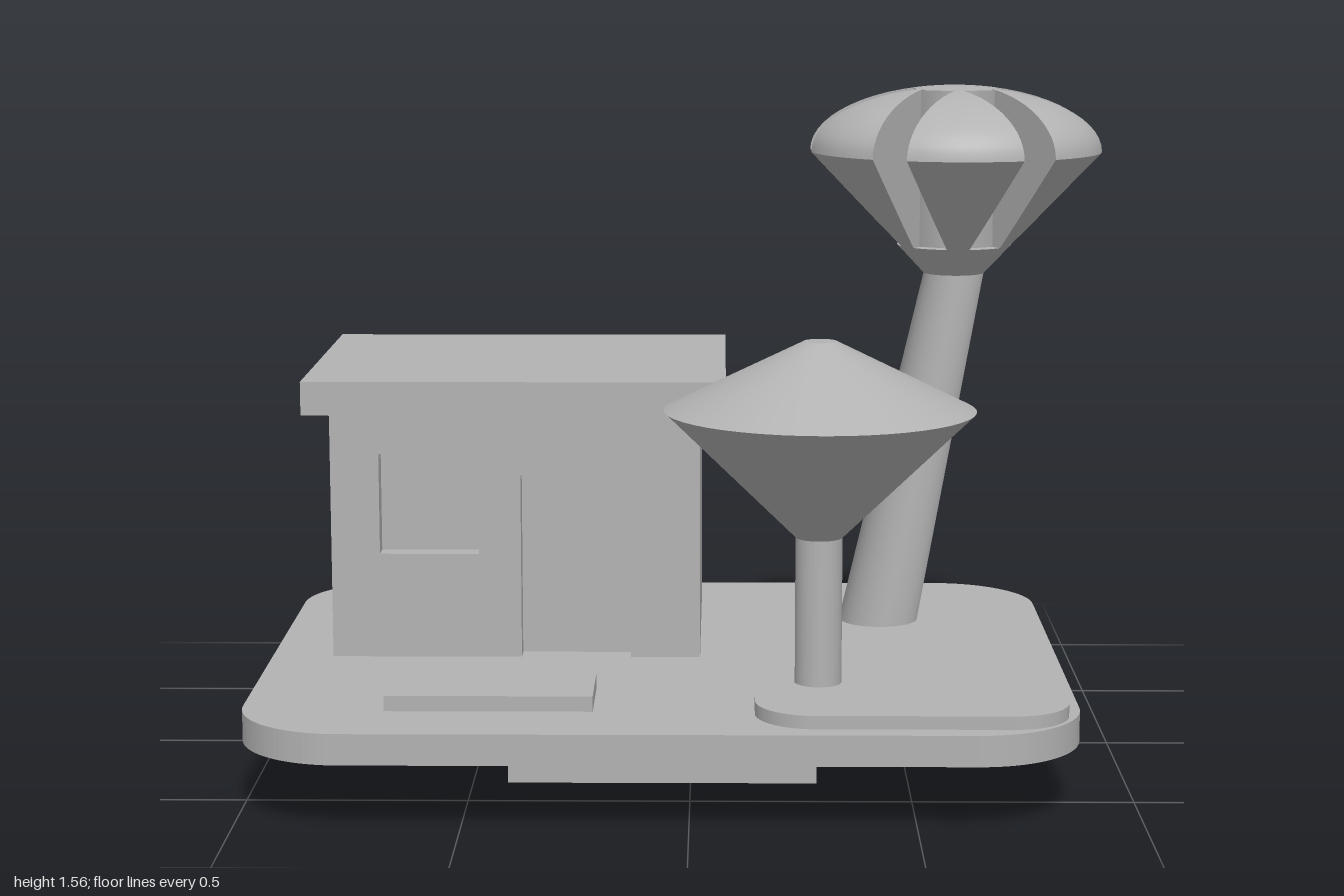
import * as THREE from 'three';

const grey = new THREE.MeshStandardMaterial({ color: 0xb2b2b2, side: THREE.DoubleSide });
grey.name = 'plain grey';

function add(parent, name, geometry, x = 0, y = 0, z = 0) {
  const mesh = new THREE.Mesh(geometry, grey);
  mesh.name = name;
  mesh.position.set(x, y, z);
  parent.add(mesh);
  return mesh;
}

// Box given by its limits on each axis
function block(parent, name, [x0, x1], [y0, y1], [z0, z1]) {
  return add(parent, name, new THREE.BoxGeometry(x1 - x0, y1 - y0, z1 - z0),
    (x0 + x1) / 2, (y0 + y1) / 2, (z0 + z1) / 2);
}

// Flat slab with rounded corners in plan
function roundedSlab(parent, name, [x0, x1], [y0, y1], [z0, z1], r) {
  const s = new THREE.Shape();
  s.absarc(x1 - r, -z0 - r, r, 0, Math.PI / 2);
  s.absarc(x0 + r, -z0 - r, r, Math.PI / 2, Math.PI);
  s.absarc(x0 + r, -z1 + r, r, Math.PI, Math.PI * 1.5);
  s.absarc(x1 - r, -z1 + r, r, Math.PI * 1.5, Math.PI * 2);
  const g = new THREE.ExtrudeGeometry(s, { depth: y1 - y0, bevelEnabled: false, curveSegments: 12 });
  g.rotateX(-Math.PI / 2);
  return add(parent, name, g, 0, y0, 0);
}

function rectanglePath(x0, x1, y0, y1) {
  return new THREE.Path([[x0, y0], [x0, y1], [x1, y1], [x1, y0]].map(p => new THREE.Vector2(...p)));
}

function house() {
  const g = new THREE.Group();
  g.name = 'house';
  block(g, 'houseBody', [-0.855, 0.02], [0.225, 0.815], [-0.645, 0.01]);
  block(g, 'roof', [-0.915, 0.08], [0.815, 0.895], [-0.705, 0.11]);
  // Front wall with a door notch and a window hole
  const wall = new THREE.Shape([
    [-0.855, 0.225], [-0.405, 0.225], [-0.405, 0.665], [-0.145, 0.665],
    [-0.145, 0.225], [0.02, 0.225], [0.02, 0.815], [-0.855, 0.815],
  ].map(p => new THREE.Vector2(...p)));
  wall.holes.push(rectanglePath(-0.74, -0.505, 0.475, 0.715));
  add(g, 'frontWall', new THREE.ExtrudeGeometry(wall, { depth: 0.05, bevelEnabled: false }), 0, 0, 0.01);
  return g;
}

function smallTree() {
  const g = new THREE.Group();
  g.name = 'smallTree';
  g.position.set(0.29, 0, 0.41);
  add(g, 'smallTrunk', new THREE.CylinderGeometry(0.053, 0.053, 0.365, 32), 0, 0.4075, 0);
  add(g, 'smallCrownUnderside', new THREE.CylinderGeometry(0.35, 0.053, 0.29, 48, 1, true), 0, 0.735, 0);
  add(g, 'smallCrownTop', new THREE.CylinderGeometry(0.037, 0.35, 0.155, 48), 0, 0.9575, 0);
  return g;
}

// Slotted crown dimensions
const R = 0.357, RIM = 1.4, FLOOR = 1.17, FLOOR_R = 0.14, CORE = 0.1, HALF = 0.045;
const domeY = r => RIM + 0.16 * Math.sqrt(Math.max(0, 1 - (r / R) ** 2));

// Points of the dome from one radius inwards to another
function domeProfile(from, to, n) {
  const a = Math.acos(from / R), b = Math.acos(to / R);
  return Array.from({ length: n + 1 }, (_, i) => {
    const r = R * Math.cos(a + (b - a) * i / n);
    return [r, domeY(r)];
  });
}

// Skin between two slots: each row stops at the slot planes
function wedgeSkin(profile, columns = 10) {
  const pos = [], index = [], row = columns + 1;
  profile.forEach(([r, y], i) => {
    const a = Math.asin(HALF / r);
    for (let j = 0; j <= columns; j++) {
      const t = a + (Math.PI / 3 - 2 * a) * j / columns;
      pos.push(r * Math.cos(t), y, r * Math.sin(t));
      if (i < profile.length - 1 && j < columns) {
        const p = i * row + j;
        index.push(p, p + row, p + 1, p + 1, p + row, p + row + 1);
      }
    }
  });
  const g = new THREE.BufferGeometry();
  g.setAttribute('position', new THREE.Float32BufferAttribute(pos, 3));
  g.setIndex(index);
  g.computeVertexNormals();
  return g;
}

function tallTree() {
  const g = new THREE.Group();
  g.name = 'tallTree';
  g.position.set(0.642, 0, -0.353);

  // Leaning trunk: a tapered cylinder sheared along x
  const trunk = new THREE.CylinderGeometry(0.074, 0.098, 0.875, 32, 1);
  trunk.applyMatrix4(new THREE.Matrix4().makeShear(0, 0, 0.178 / 0.875, 0, 0, 0));
  const p = trunk.attributes.position;
  if (Math.abs(p.getX(0)) < 0.01) { // keep the lean along x
    trunk.computeBoundingBox();
  }
  const lean = new THREE.CylinderGeometry(0.074, 0.098, 0.875, 32, 1);
  const q = lean.attributes.position;
  for (let i = 0; i < q.count; i++) q.setX(i, q.getX(i) + q.getY(i) * 0.178 / 0.875);
  add(g, 'tallTrunk', lean, -0.089, 0.6625, 0);

  // Solid middle of the crown
  add(g, 'crownBase', new THREE.CylinderGeometry(FLOOR_R, 0.074, FLOOR - 1.1, 48), 0, (FLOOR + 1.1) / 2, 0);
  const corner = CORE / Math.cos(Math.PI / 6), coreTop = domeY(corner);
  const core = new THREE.CylinderGeometry(corner, corner, coreTop - FLOOR, 6);
  add(g, 'crownCore', core, 0, (coreTop + FLOOR) / 2, 0);
  const cap = domeProfile(CORE, 0, 5).map(([r, y]) => new THREE.Vector2(Math.max(r, 0), y));
  add(g, 'crownCap', new THREE.LatheGeometry(cap, 48));

  // Six wedges separated by straight slots
  const cone = [[FLOOR_R, FLOOR], [0.2, 0], [0.28, 0], [R, RIM]].map(([r]) =>
    [r, FLOOR + (RIM - FLOOR) * (r - FLOOR_R) / (R - FLOOR_R)]);
  const dome = domeProfile(R, CORE, 12);
  const outline = [...cone, ...dome.slice(1)].map(([r, y]) =>
    new THREE.Vector2(Math.sqrt(r * r - HALF * HALF), y));
  outline.push(new THREE.Vector2(outline.at(-1).x, FLOOR));
  const under = wedgeSkin(cone), top = wedgeSkin(dome);
  const side = new THREE.ShapeGeometry(new THREE.Shape(outline));
  for (let k = 0; k < 6; k++) {
    const wedge = new THREE.Group();
    wedge.name = 'crownWedge';
    wedge.rotation.y = k * Math.PI / 3;
    add(wedge, 'wedgeUnderside', under);
    add(wedge, 'wedgeTop', top);
    add(wedge, 'slotSide', side, 0, 0, HALF);
    add(wedge, 'slotSide', side, 0, 0, -HALF);
    g.add(wedge);
  }
  return g;
}

export function createModel() {
  const model = new THREE.Group();
  model.name = 'islandHouse';
  block(model, 'foot', [-0.42, 0.29], [0, 0.155], [-0.355, 0.355]);
  roundedSlab(model, 'groundSlab', [-1, 0.87], [0.155, 0.225], [-0.76, 0.76], 0.24);
  block(model, 'doorstep', [-0.68, -0.215], [0.225, 0.26], [0.368, 0.567]);
  roundedSlab(model, 'treeBed', [0.145, 0.84], [0.225, 0.255], [0.417, 0.71], 0.13);
  model.add(house(), smallTree(), tallTree());
  return model;
}
